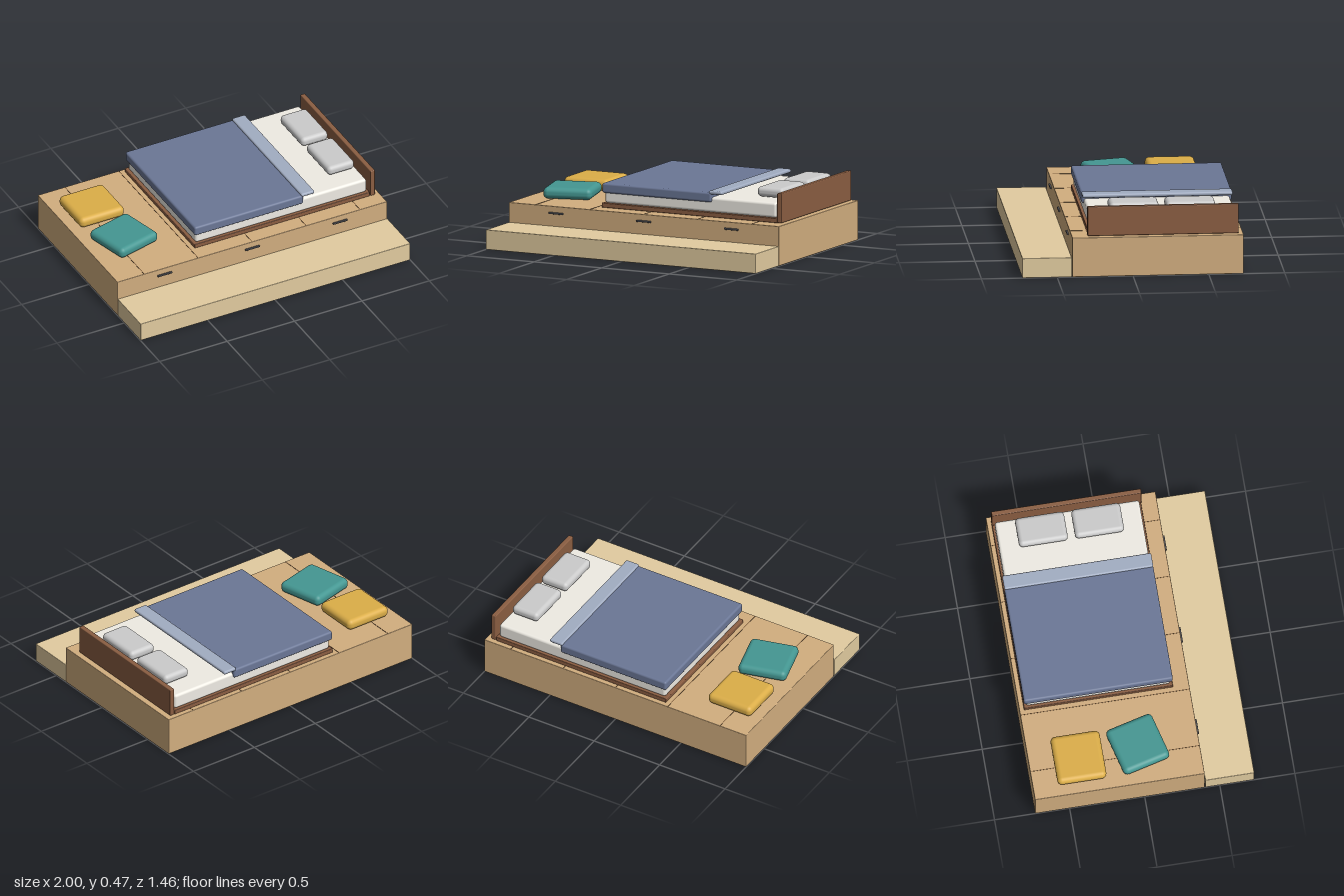
import * as THREE from 'three';
import { RoundedBoxGeometry } from 'three/addons/geometries/RoundedBoxGeometry.js';

const mat = (color) => new THREE.MeshStandardMaterial({ color });
const materials = {
  wood: mat(0xd2ae7f),
  paleWood: mat(0xe2cca0),
  darkWood: mat(0x8b5e42),
  seam: mat(0x7a5a3a),
  metal: mat(0x55555a),
  linen: mat(0xefece4),
  pillow: mat(0xcccccc),
  blanket: mat(0x6b7796),
  fold: mat(0xa2adc2),
  yellow: mat(0xdcae48),
  teal: mat(0x449792),
};

export function createModel() {
  const model = new THREE.Group();
  model.name = 'platformBed';

  // Box given by its extents on each axis; a radius rounds the edges
  function block(name, material, [x0, x1], [y0, y1], [z0, z1], radius = 0) {
    const size = [x1 - x0, y1 - y0, z1 - z0];
    const geometry = radius
      ? new RoundedBoxGeometry(...size, 4, radius)
      : new THREE.BoxGeometry(...size);
    const mesh = new THREE.Mesh(geometry, materials[material]);
    mesh.name = name;
    mesh.position.set((x0 + x1) / 2, (y0 + y1) / 2, (z0 + z1) / 2);
    model.add(mesh);
    return mesh;
  }

  // Platform and the long step in front of it
  block('platform', 'wood', [-1, 1], [0, 0.264], [-0.73, 0.4], 0.004);
  block('step', 'paleWood', [-1, 1], [0, 0.132], [0.404, 0.73], 0.004);

  // Seams between the platform boards
  for (const x of [-0.8, -0.4, 0, 0.4, 0.8]) {
    block('boardSeam', 'seam', [x - 0.002, x + 0.002], [0.262, 0.266], [-0.725, 0.395]);
  }

  // Drawer handles along the front
  for (const x of [-0.65, 0, 0.65]) {
    block('drawerHandle', 'metal', [x - 0.053, x + 0.053], [0.212, 0.224], [0.398, 0.411], 0.003);
  }

  // Bed frame
  block('bedBase', 'darkWood', [-0.37, 0.93], [0.264, 0.295], [-0.7, 0.292], 0.005);
  block('headboard', 'darkWood', [0.932, 0.965], [0.266, 0.464], [-0.7, 0.297], 0.006);

  // Bedding
  block('mattress', 'linen', [-0.355, 0.915], [0.293, 0.394], [-0.685, 0.277], 0.018);
  block('blanket', 'blanket', [-0.368, 0.44], [0.361, 0.427], [-0.7, 0.292], 0.014);
  block('blanketFold', 'fold', [0.423, 0.52], [0.415, 0.44], [-0.7, 0.292], 0.011);
  for (const z of [-0.392, -0.018]) {
    block('pillow', 'pillow', [0.7, 0.897], [0.4, 0.466], [z - 0.163, z + 0.163], 0.028);
  }

  // Floor cushions at the foot end, one of them turned
  block('yellowCushion', 'yellow', [-0.935, -0.605], [0.266, 0.342], [-0.567, -0.24], 0.033);
  const teal = block('tealCushion', 'teal', [-0.905, -0.575], [0.266, 0.342], [-0.168, 0.16], 0.033);
  teal.rotation.y = 0.25;

  return model;
}
